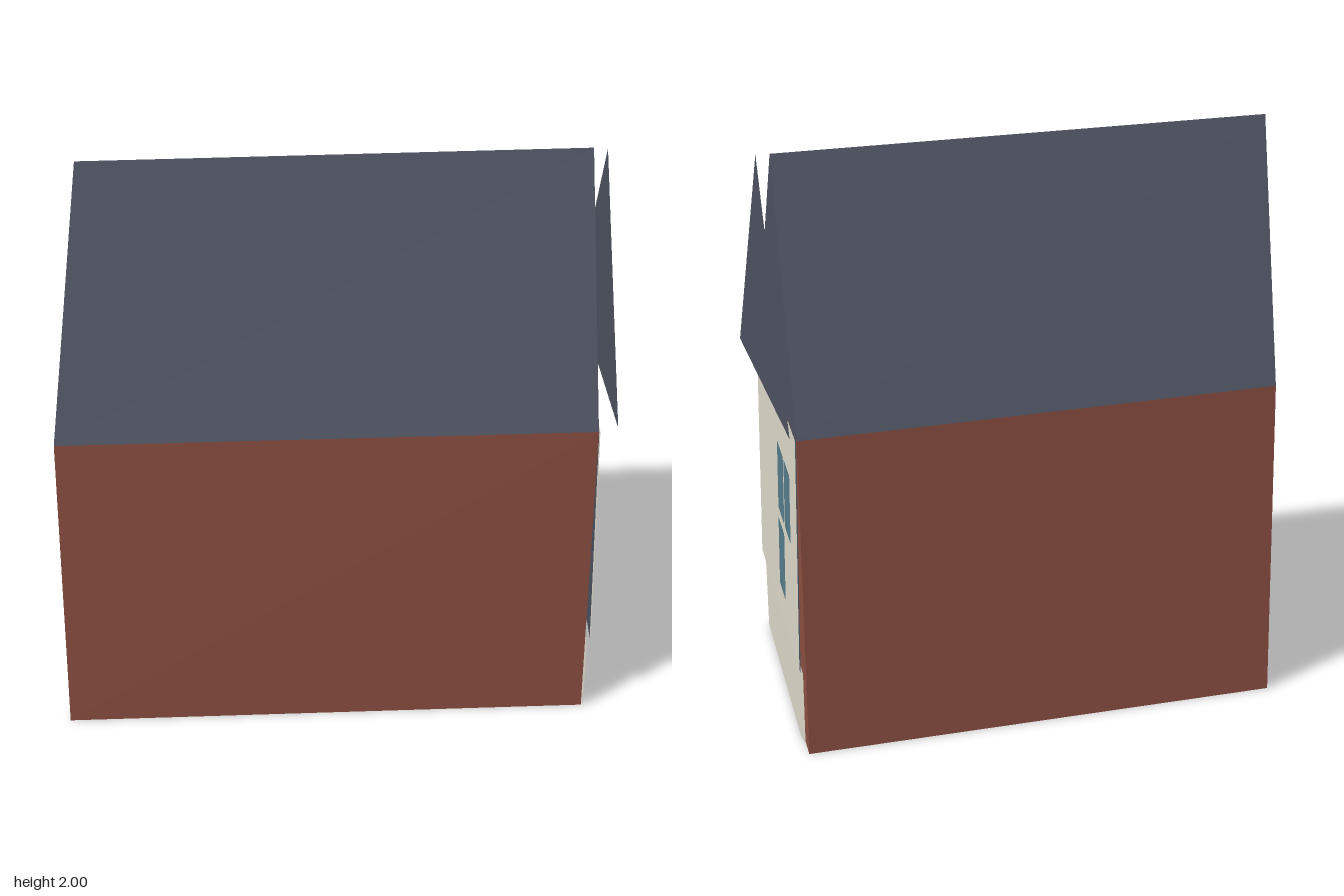
import * as THREE from 'three';

const material = (name, color) =>
  new THREE.MeshStandardMaterial({ name, color, side: THREE.DoubleSide, flatShading: true });

export function createModel() {
  const house = new THREE.Group();
  house.name = 'house';
  const brick = material('brick', 0x8a4e40);
  const slate = material('slate', 0x4c515f);
  const cream = material('cream', 0xdcd6c8);
  const glass = material('window glass', 0x557a8a);

  // Flat sheet from convex corners, counter-clockwise seen from outside
  function sheet(name, mat, corners) {
    const geo = new THREE.BufferGeometry();
    const pos = [];
    for (let i = 1; i < corners.length - 1; i++) pos.push(...corners[0], ...corners[i], ...corners[i + 1]);
    geo.setAttribute('position', new THREE.Float32BufferAttribute(pos, 3));
    geo.computeVertexNormals();
    const mesh = new THREE.Mesh(geo, mat);
    mesh.name = name;
    house.add(mesh);
  }

  // Corners at ground, at the eaves, and the two ridge ends
  const eaves = 1.18, plinth = 0.315;
  const A0 = [-0.8, 0, 0.785], A1 = [-0.78, eaves, 0.78];
  const B0 = [0.905, 0, 0.1], B1 = [0.905, eaves, 0.105];
  const C0 = [0.575, 0, -0.775], C1 = [0.575, eaves, -0.78];
  const D0 = [-0.968, 0, -0.13], D1 = [-0.945, eaves, -0.125];
  const ridgeL = [-0.86, 2, 0.325], ridgeR = [0.73, 2, -0.335];
  const between = (p, q) => p.map((v, i) => v + (q[i] - v) * plinth / eaves);
  const Am = between(A0, A1), Dm = between(D0, D1);

  // Brick body
  sheet('frontWall', brick, [A0, B0, B1, A1]);
  sheet('backWall', brick, [C0, D0, D1, C1]);
  sheet('floor', brick, [A0, D0, C0, B0]);
  sheet('leftEndInnerWall', brick, [B0, C0, C1, B1]);

  // Roof and the slate-hung end
  sheet('frontRoof', slate, [A1, B1, ridgeR, ridgeL]);
  sheet('backRoof', slate, [C1, D1, ridgeL, ridgeR]);
  sheet('roofEnd', slate, [B1, C1, ridgeR]);
  sheet('slateEndWall', slate, [Dm, Am, A1, ridgeL, D1]);
  sheet('slateEndPlinth', cream, [D0, A0, Am, Dm]);

  // Gable panel standing just clear of the roof
  sheet('gablePanel', slate, [[0.96, eaves, 0.06], [0.6, eaves, -0.77], [0.775, 2, -0.345]]);

  // Point on the windowed end wall, moved outward
  const onWall = (z, y, out) => [0.905 + (z - 0.105) * 0.373 + out, y, z];
  const lean = y => 0.005 + 0.016 * (eaves - y) / (eaves - plinth);
  const panel = (z0, z1, y0, y1, gap) =>
    [[z0, y0], [z1, y0], [z1, y1], [z0, y1]].map(([z, y]) => onWall(z, y, lean(y) + gap));

  // Plinth panel with two clipped corners that reveal the brick
  sheet('windowEndPlinth', cream, [[0.1, 0], [-0.67, 0], [-0.77, 0.04], [-0.775, plinth], [0, plinth], [0.105, 0.275]]
    .map(([z, y]) => onWall(z, y, 0.009)));
  sheet('windowEndBacking', slate, panel(0.105, -0.775, plinth, eaves, -0.004));
  sheet('windowEndWall', cream, panel(0.105, -0.775, plinth, eaves, 0));

  // Windows
  [[-0.42, -0.55, 0.76, 1.012], [-0.565, -0.692, 0.76, 1.012], [-0.415, -0.545, 0.465, 0.72]]
    .forEach(w => sheet('window', glass, panel(...w, 0.009)));

  return house;
}
